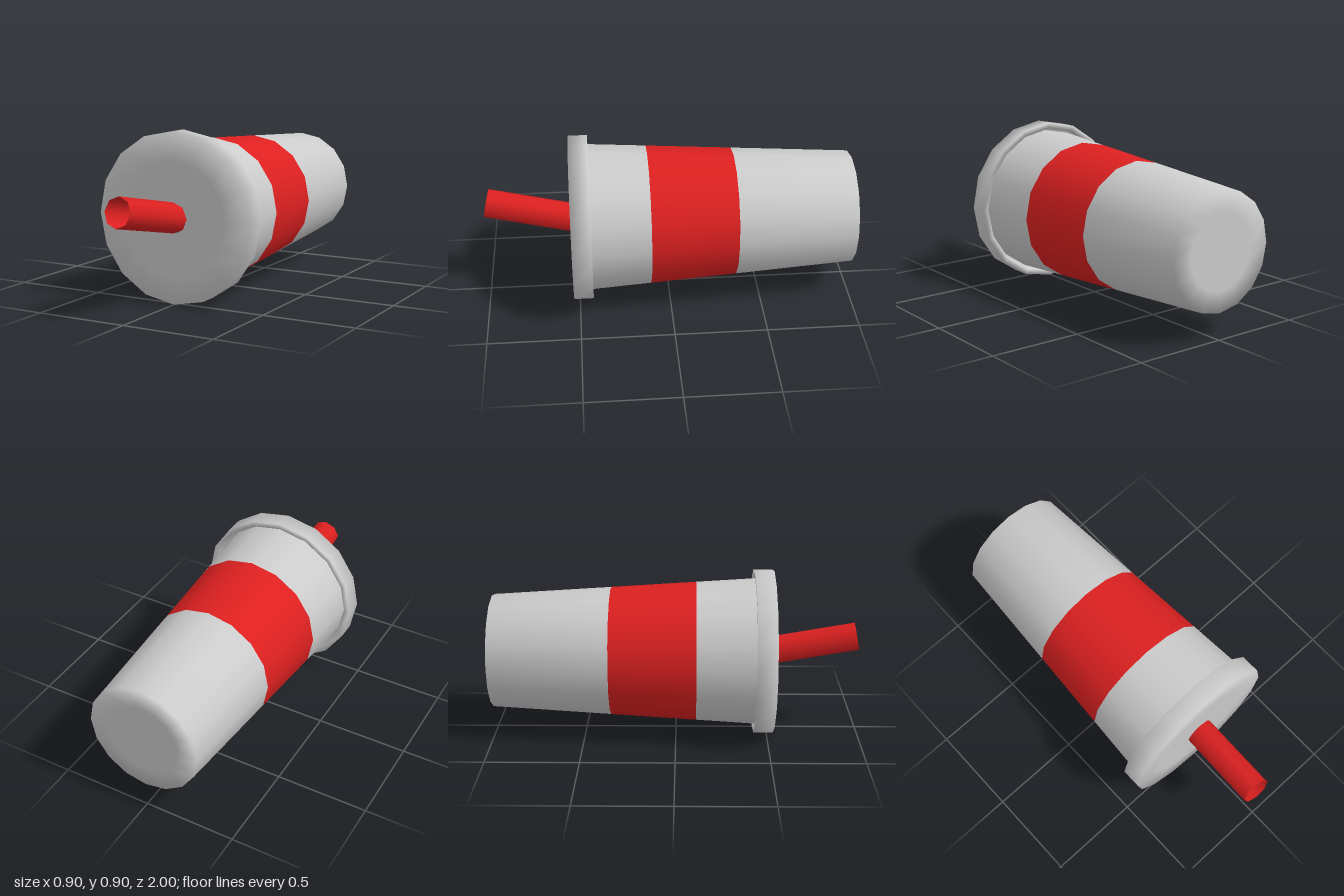
import * as THREE from 'three';

const CENTRE_Y = 0.45;
const grey = new THREE.MeshStandardMaterial({ color: 0xcccccc });
const red = new THREE.MeshStandardMaterial({ color: 0xdd2020 });
const redThin = new THREE.MeshStandardMaterial({ color: 0xdd2020, side: THREE.DoubleSide });

// 16-sided smooth solid of revolution about z; profile is [radius, z] pairs
function turned(name, profile, material) {
  const geometry = new THREE.LatheGeometry(profile.map(p => new THREE.Vector2(...p)), 16);
  geometry.rotateX(Math.PI / 2);
  const mesh = new THREE.Mesh(geometry, material);
  mesh.name = name;
  mesh.position.y = CENTRE_Y;
  return mesh;
}

// Radius of the tapering cup wall at a given z
const wall = z => [0.31 + (z + 1) * 0.0634, z];

// Thin octagonal tube: cut square at the tip, cut flat against the lid at the base
function makeStraw() {
  const base = new THREE.Vector3(0, 0.455, 0.53);
  const tip = new THREE.Vector3(-0.033, 0.546, 0.985);
  const axis = tip.clone().sub(base);
  const length = axis.length();
  axis.normalize();
  const geometry = new THREE.CylinderGeometry(0.079, 0.079, length, 8, 1, true);
  geometry.translate(0, length / 2, 0);
  geometry.rotateX(Math.PI / 2);
  geometry.applyQuaternion(new THREE.Quaternion().setFromUnitVectors(new THREE.Vector3(0, 0, 1), axis));
  geometry.translate(base.x, base.y, base.z);
  const pos = geometry.attributes.position;
  const v = new THREE.Vector3();
  for (let i = 0; i < pos.count; i++) {
    v.fromBufferAttribute(pos, i);
    if (v.z < 0.75) {
      v.addScaledVector(axis, (base.z - v.z) / axis.z);
      pos.setXYZ(i, v.x, v.y, v.z);
    }
  }
  const mesh = new THREE.Mesh(geometry, redThin);
  mesh.name = 'straw';
  return mesh;
}

export function createModel() {
  const group = new THREE.Group();
  group.name = 'drinkCup';

  // Cup lying on its side, in three flush sections
  group.add(turned('cupBase', [[0, -1], [0.2, -1], wall(-1), wall(-0.355)], grey));
  group.add(turned('cupBand', [wall(-0.355), wall(0.11)], red));
  group.add(turned('cupTop', [wall(0.11), wall(0.47)], grey));

  // Lid with a hollow rim behind and a hole for the straw
  group.add(turned('lid', [
    [0.39, 0.465], [0.42, 0.465], [0.42, 0.425], [0.45, 0.425],
    [0.45, 0.53], [0.3, 0.53], [0.073, 0.53],
  ], grey));

  group.add(makeStraw());
  return group;
}
